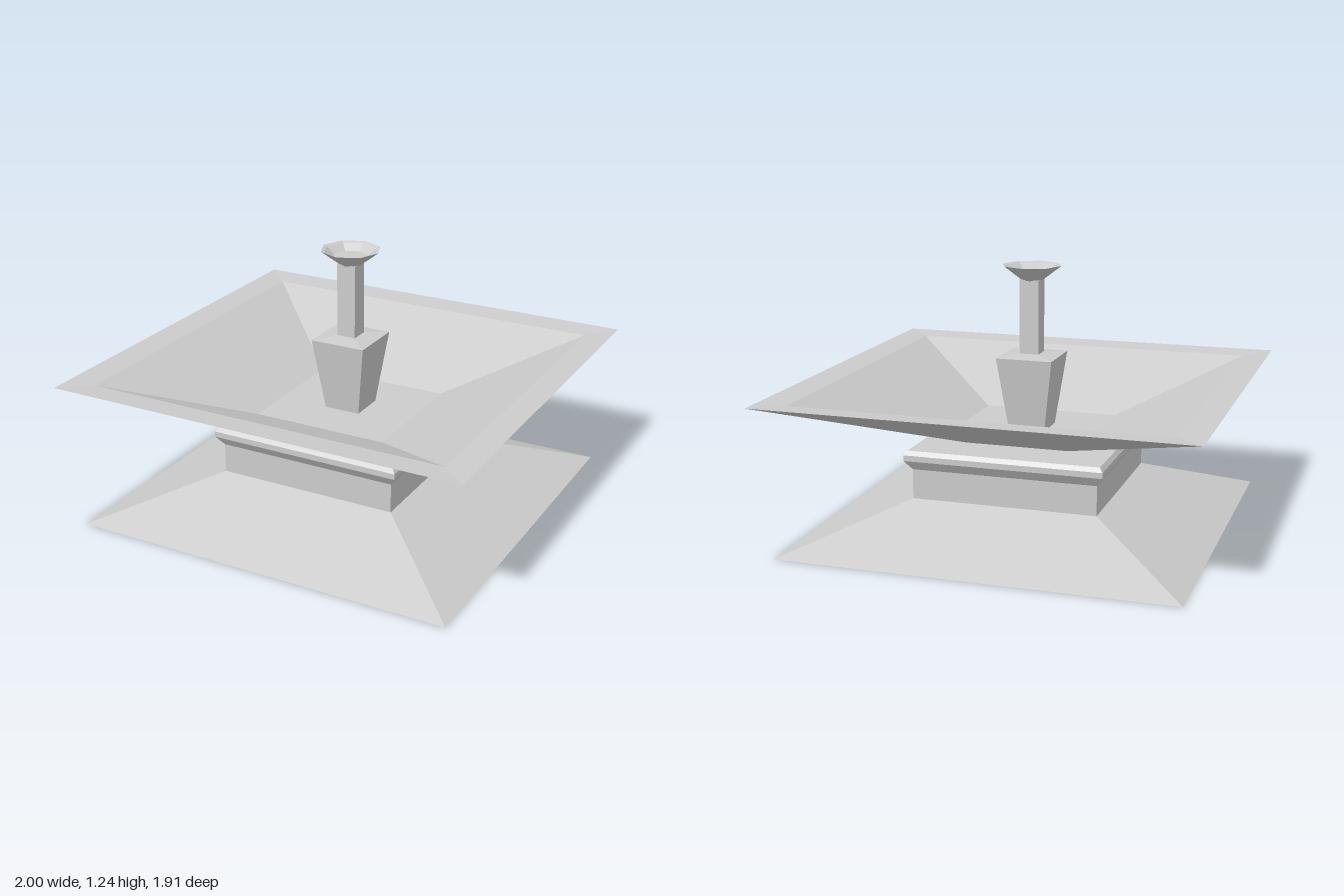
import * as THREE from 'three';

const material = new THREE.MeshStandardMaterial({ color: 0xcccccc, flatShading: true });

// Stacks rings of [half x, y, half z], bottom to top on the outside; the ends are capped.
function loft(name, rings, sides = 4) {
  const square = sides === 4;
  const phase = square ? Math.PI / 4 : 0;
  const k = square ? Math.SQRT2 : 1;
  const corner = ([rx, y, rz = rx], i) => {
    const a = phase + (i / sides) * Math.PI * 2;
    return [Math.sin(a) * rx * k, y, Math.cos(a) * rz * k];
  };
  const closed = [[0, rings[0][1]], ...rings, [0, rings[rings.length - 1][1]]];
  const positions = [];
  for (let r = 0; r < closed.length - 1; r++) {
    const low = closed[r], high = closed[r + 1];
    for (let i = 0; i < sides; i++) {
      const a = corner(low, i), b = corner(low, i + 1);
      const c = corner(high, i + 1), d = corner(high, i);
      if (low[0] > 0) positions.push(...a, ...b, ...c);
      if (high[0] > 0) positions.push(...a, ...c, ...d);
    }
  }
  const geometry = new THREE.BufferGeometry();
  geometry.setAttribute('position', new THREE.Float32BufferAttribute(positions, 3));
  geometry.computeVertexNormals();
  const mesh = new THREE.Mesh(geometry, material);
  mesh.name = name;
  return mesh;
}

export function createModel() {
  const fountain = new THREE.Group();
  fountain.name = 'fountain';

  fountain.add(
    // sloping foot
    loft('foot', [[0.925, 0, 0.9], [0.438, 0.19]]),
    // square plinth
    loft('plinth', [[0.438, 0.19], [0.438, 0.335]]),
    // moulding with flared underside and chamfered top
    loft('moulding', [[0.438, 0.33], [0.47, 0.375], [0.47, 0.402], [0.455, 0.422]]),
    // wide shallow basin: outer wall, sloping rim, inner wall, floor
    loft('basin', [
      [0.24, 0.42, 0.24], [1, 0.7, 0.955], [0.87, 0.69, 0.825], [0.33, 0.46, 0.313],
    ]),
    // pedestal widening upwards, with a shallow pyramid top
    loft('pedestal', [[0.087, 0.455], [0.135, 0.808], [0.046, 0.82]]),
    // square column
    loft('column', [[0.046, 0.815], [0.046, 1.17]]),
    // octagonal hollow cup
    loft('cup', [[0.05, 1.165], [0.142, 1.235], [0.127, 1.23], [0.087, 1.2]], 8),
  );
  return fountain;
}
